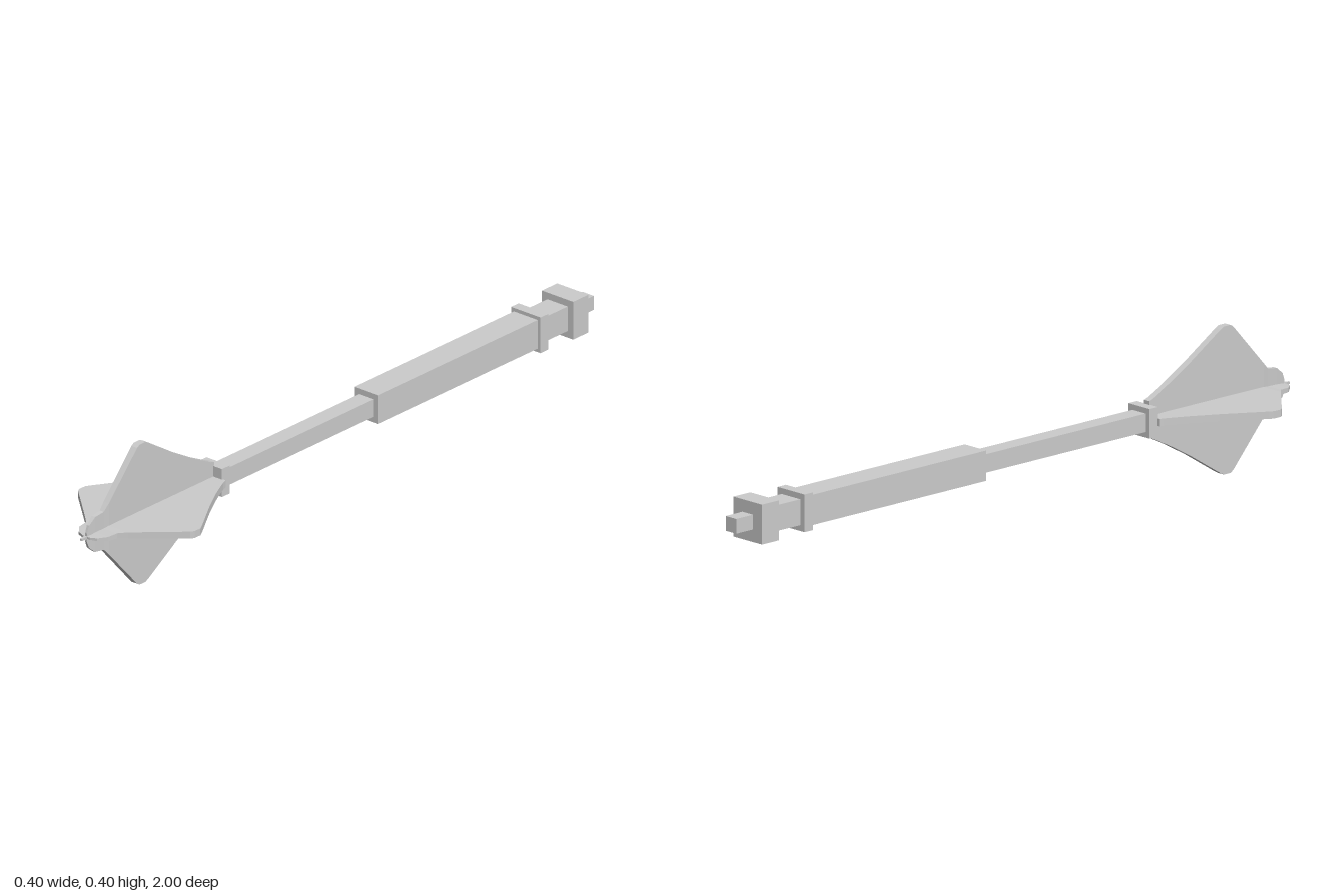
import * as THREE from 'three';

const material = new THREE.MeshStandardMaterial({ color: 0xcccccc, flatShading: true });

// Skin a row of rectangular sections [z, half width, half height] and cap both ends
function loft(sections) {
  const pos = [];
  const rings = sections.map(([z, w, h]) => [[-w, -h, z], [w, -h, z], [w, h, z], [-w, h, z]]);
  const quad = (a, b, c, d) => [a, b, c, a, c, d].forEach((p) => pos.push(...p));
  for (let i = 0; i < rings.length - 1; i++) {
    for (let k = 0; k < 4; k++) {
      const n = (k + 1) % 4;
      quad(rings[i][k], rings[i][n], rings[i + 1][n], rings[i + 1][k]);
    }
  }
  const first = rings[0], last = rings[rings.length - 1];
  quad(first[3], first[2], first[1], first[0]);
  quad(last[0], last[1], last[2], last[3]);
  const geo = new THREE.BufferGeometry();
  geo.setAttribute('position', new THREE.Float32BufferAttribute(pos, 3));
  geo.computeVertexNormals();
  return geo;
}

export function createModel() {
  const group = new THREE.Group();
  const add = (name, geo, turn = 0) => {
    const mesh = new THREE.Mesh(geo, material);
    mesh.name = name;
    mesh.position.y = 0.2;
    mesh.rotation.z = turn;
    group.add(mesh);
  };

  // Square handle parts: name, back z, front z, half width
  const bars = [
    ['pommelTip', -1, -0.94, 0.02],
    ['pommel', -0.94, -0.88, 0.054],
    ['neck', -0.88, -0.78, 0.035],
    ['gripRing', -0.785, -0.755, 0.051],
    ['grip', -0.755, -0.125, 0.041],
    ['shaft', -0.125, 0.46, 0.025],
    ['collar', 0.46, 0.49, 0.04],
  ];
  for (const [name, z0, z1, half] of bars) {
    const geo = new THREE.BoxGeometry(half * 2, half * 2, z1 - z0);
    geo.translate(0, 0, (z0 + z1) / 2);
    add(name, geo);
  }

  // Two crossed blades form the four flanges, thinning towards the front
  const blade = loft([
    [0.487, 0.05, 0.01], [0.5, 0.054, 0.01], [0.56, 0.083, 0.01], [0.635, 0.125, 0.01],
    [0.745, 0.194, 0.01], [0.757, 0.2, 0.01], [0.78, 0.2, 0.01], [0.79, 0.194, 0.01],
    [0.9, 0.073, 0.009], [0.918, 0.054, 0.007], [0.95, 0.05, 0.006],
    [0.972, 0.032, 0.004], [0.98, 0.012, 0.003],
  ]);
  add('sideFlanges', blade);
  add('uprightFlanges', blade, Math.PI / 2);

  // Thin point at the very front
  add('headPoint', loft([[0.95, 0.006, 0.006], [1, 0.003, 0.003]]));
  return group;
}
